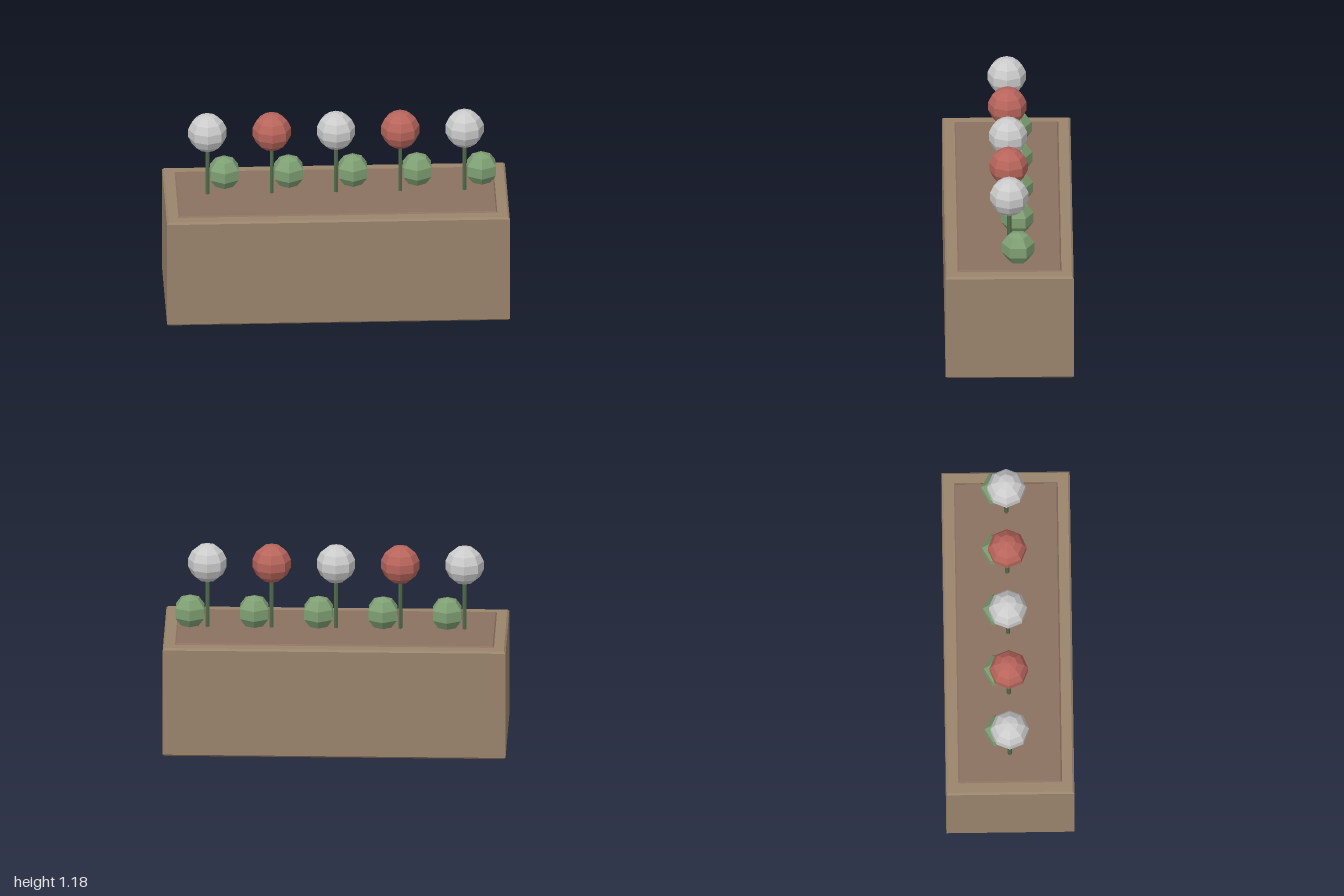
import * as THREE from 'three';

const mat = (color, flatShading = true) =>
  new THREE.MeshStandardMaterial({ color, flatShading });

// Box with chamfered edges, standing on y = bottom
function chamferedBox(w, h, d, c, bottom) {
  const x = w / 2 - c, z = d / 2 - c;
  const shape = new THREE.Shape([
    new THREE.Vector2(-x, -z), new THREE.Vector2(x, -z),
    new THREE.Vector2(x, z), new THREE.Vector2(-x, z),
  ]);
  const geo = new THREE.ExtrudeGeometry(shape, {
    depth: h - 2 * c, bevelEnabled: true, bevelThickness: c, bevelSize: c, bevelSegments: 1,
  });
  return geo.rotateX(-Math.PI / 2).translate(0, bottom + c, 0);
}

export function createModel() {
  const model = new THREE.Group();
  model.name = 'flowerPlanter';

  const add = (parent, name, geo, material, x = 0, y = 0, z = 0) => {
    const mesh = new THREE.Mesh(geo, material);
    mesh.name = name;
    mesh.position.set(x, y, z);
    parent.add(mesh);
    return mesh;
  };

  // Planter box and the raised soil bed
  add(model, 'planterBox', chamferedBox(2, 0.667, 0.747, 0.011, 0), mat(0x9a846c));
  add(model, 'soil', chamferedBox(1.86, 0.075, 0.605, 0.008, 0.6), mat(0x8b7262));

  // Shared parts of the plants
  const stemGeo = new THREE.CylinderGeometry(0.013, 0.013, 0.34, 6);
  const bloomGeo = new THREE.SphereGeometry(0.115, 8, 7);
  const leafGeo = new THREE.SphereGeometry(0.1, 6, 5).rotateY(Math.PI / 2);
  const stemMat = mat(0x4f6a4a);
  const leafMat = mat(0x7fa074);
  const bloomMats = [mat(0xcccccc), mat(0xb8655c)];

  // Row of five plants with alternating bloom colours
  for (let i = 0; i < 5; i++) {
    const plant = new THREE.Group();
    plant.name = 'plant' + (i + 1);
    plant.position.x = (i - 2) * 0.375;
    add(plant, 'stem', stemGeo, stemMat, 0, 0.83, 0);
    add(plant, 'bloom', bloomGeo, bloomMats[i % 2], 0, 1.07, 0);
    add(plant, 'leafBall', leafGeo, leafMat, 0.1, 0.787, -0.05);
    model.add(plant);
  }
  return model;
}
